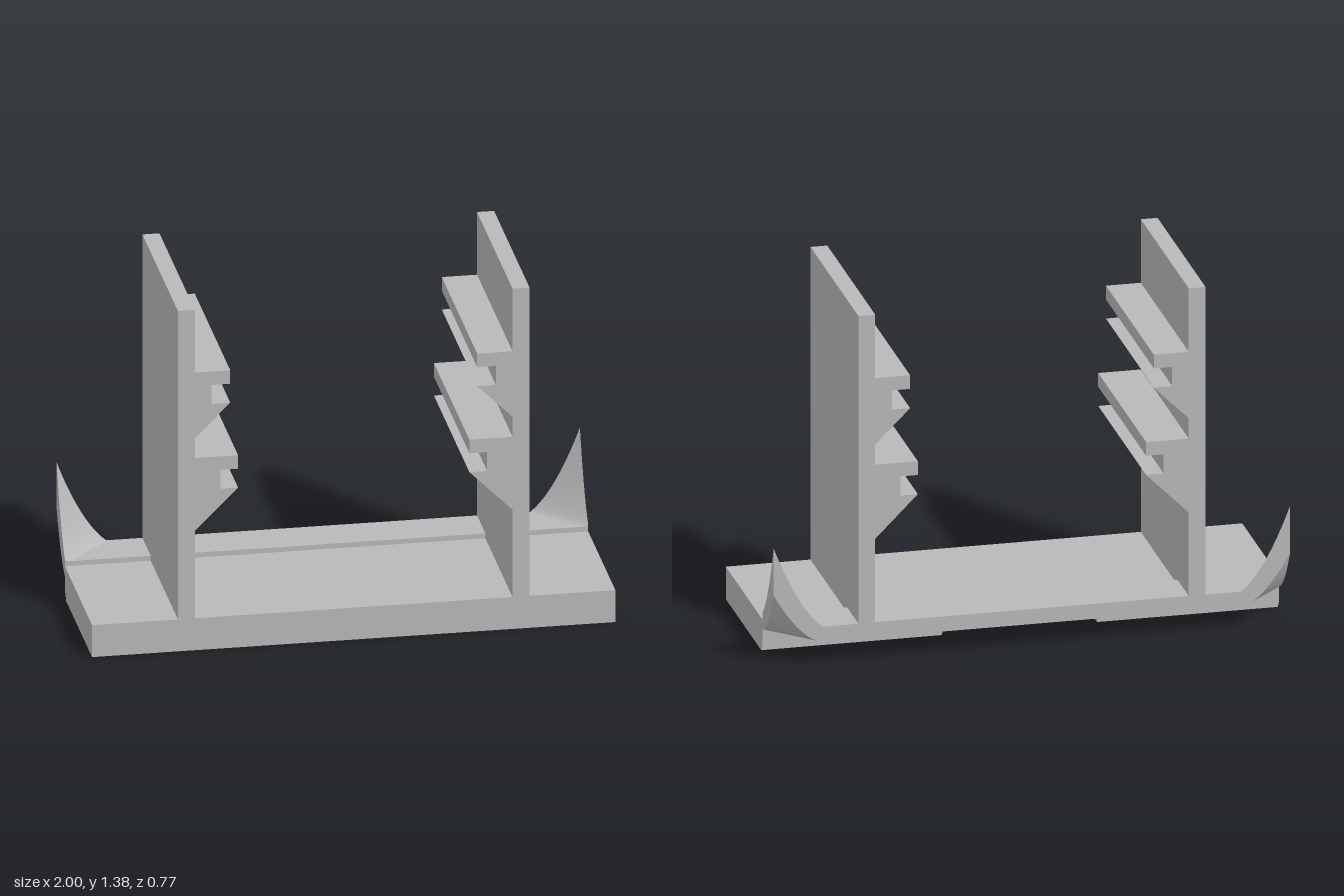
import * as THREE from 'three';

// Extrude a list of [x, y] points along z, centred on z = 0
function prism(points, depth) {
  const shape = new THREE.Shape(points.map(([x, y]) => new THREE.Vector2(x, y)));
  const geo = new THREE.ExtrudeGeometry(shape, { depth, bevelEnabled: false });
  return geo.translate(0, 0, -depth / 2);
}

export function createModel() {
  const group = new THREE.Group();
  const grey = new THREE.MeshStandardMaterial({ color: 0xb8b8b8 });
  grey.name = 'plain grey';

  function add(name, geo, x = 0, y = 0, z = 0) {
    const mesh = new THREE.Mesh(geo, grey);
    mesh.name = name;
    mesh.position.set(x, y, z);
    group.add(mesh);
    return mesh;
  }

  const halfDepth = 0.385, backZ = -0.205, topY = 0.13;

  // Base slab, profile drawn as [-z, y]; small steps along the lower back edge
  const steppedEdge = [[0.185, 0], [0.185, 0.012], [0.195, 0.012], [0.195, 0.024], [-backZ, 0.024]];
  const notchEdge = [[0.12, 0], [0.12, 0.06], [-backZ, 0.06]];
  const slab = (edge, width) =>
    prism([[-halfDepth, 0], ...edge, [-backZ, topY], [-halfDepth, topY]], width).rotateY(Math.PI / 2);
  add('baseCentreWithNotch', slab(notchEdge, 0.6));
  for (const side of [-1, 1]) add('baseSide', slab(steppedEdge, 0.7), side * 0.65);

  // Raised lip along the back
  const lipDepth = halfDepth + backZ, lipZ = (backZ - halfDepth) / 2;
  add('backLip', new THREE.BoxGeometry(1.6, 0.06, lipDepth), 0, 0.12, lipZ);

  // Lip corners that curl upward to a point
  for (const side of [-1, 1]) {
    const geo = new THREE.BoxGeometry(0.2, 1, lipDepth, 20, 1, 20);
    geo.translate(side * 0.9, 0, lipZ);
    const p = geo.attributes.position;
    for (let i = 0; i < p.count; i++) {
      const u = (Math.abs(p.getX(i)) - 0.81) / 0.19;
      const v = (-p.getZ(i) - 0.195) / 0.19;
      const s = Math.min(1, Math.max(0, u + v - 1));
      p.setY(i, p.getY(i) > 0 ? 0.15 + 0.15 * s + 0.18 * s * s : 0.09 + 0.2 * Math.pow(s, 1.7));
    }
    geo.computeVertexNormals();
    add('curledCorner', geo);
  }

  // Upright walls, each with two grooved brackets on the inner face
  const inner = 0.607, outer = 0.672;
  const bracket = (tip, groove, y) => [
    [inner, y], [tip, y], [tip, y - 0.055], [groove, y - 0.055],
    [groove, y - 0.132], [tip, y - 0.132], [inner, y - 0.132 - (inner - tip)],
  ];
  const wall = [
    [outer, topY], [outer, 1.385], [inner, 1.385],
    ...bracket(0.472, 0.543, 1.13),
    ...bracket(0.442, 0.51, 0.782),
    [inner, topY],
  ];
  for (const side of [-1, 1]) {
    add('bracketWall', prism(wall.map(([x, y]) => [side * x, y]), halfDepth * 2));
  }

  return group;
}
